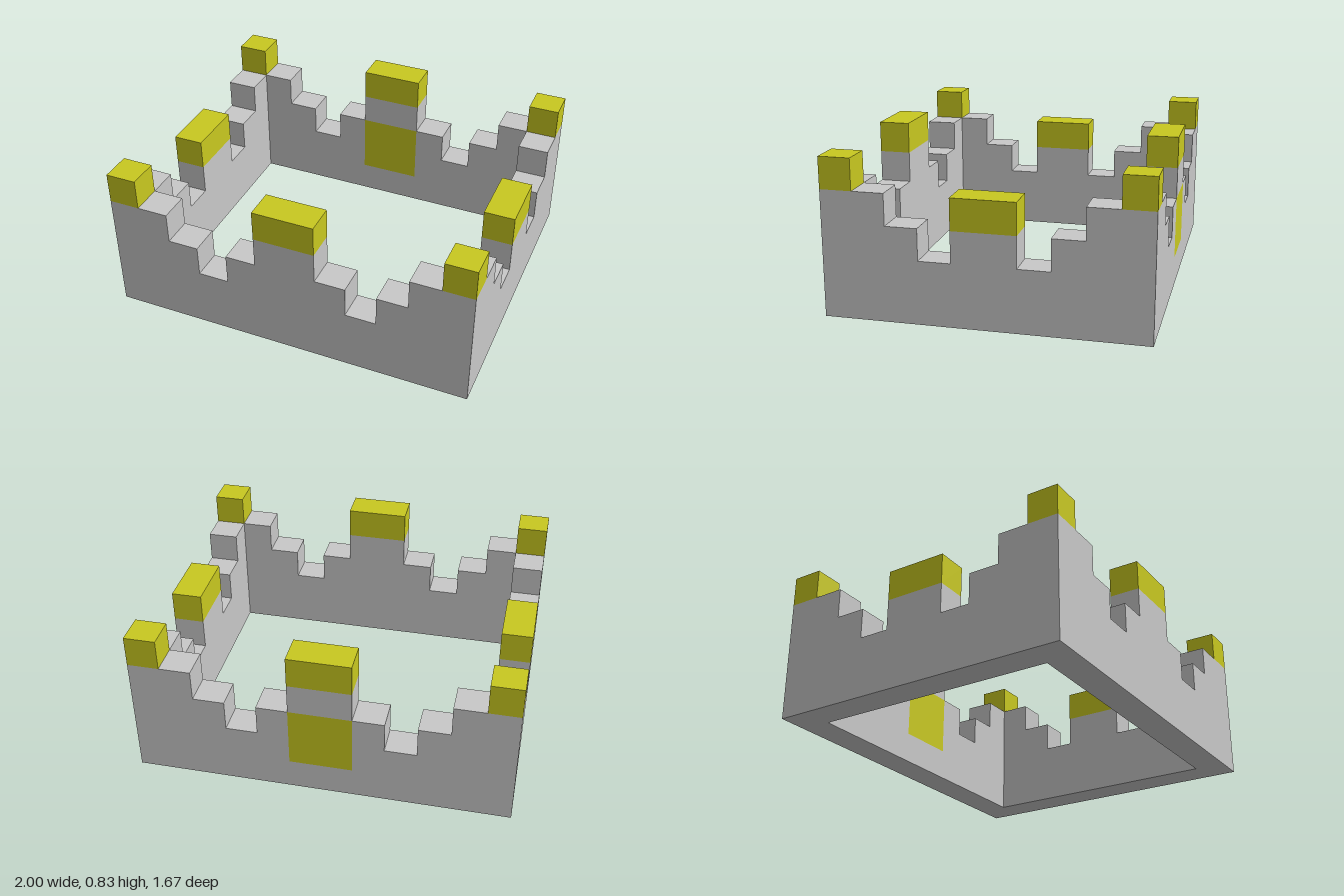
import * as THREE from 'three';

const U = 1 / 6; // one building block

const stone = new THREE.MeshStandardMaterial({ color: 0xc8c8c8 });
stone.name = 'grey stone';
const gold = new THREE.MeshStandardMaterial({ color: 0xc8c820 });
gold.name = 'yellow gold';

// Stepped wall, one block thick, centred on its own x and z; heights are in blocks
function steppedWall(name, heights, hole) {
  const half = heights.length / 2;
  const shape = new THREE.Shape();
  shape.moveTo(-half * U, 0);
  shape.lineTo(half * U, 0);
  for (let i = heights.length - 1; i >= 0; i--) {
    const y = heights[i] * U;
    if (heights[i] !== heights[i + 1]) shape.lineTo((i + 1 - half) * U, y);
    if (heights[i] !== heights[i - 1]) shape.lineTo((i - half) * U, y);
  }
  shape.closePath();
  if (hole) {
    const [x0, y0, x1, y1] = hole.map((v) => v * U);
    const path = new THREE.Path();
    path.moveTo(x0, y0);
    path.lineTo(x0, y1);
    path.lineTo(x1, y1);
    path.lineTo(x1, y0);
    path.closePath();
    shape.holes.push(path);
  }
  const geometry = new THREE.ExtrudeGeometry(shape, { depth: U, bevelEnabled: false });
  geometry.translate(0, 0, -U / 2);
  const mesh = new THREE.Mesh(geometry, stone);
  mesh.name = name;
  return mesh;
}

// Gold block: size and centre in blocks, y is its underside
function goldBlock(name, w, h, d, x, y, z) {
  const mesh = new THREE.Mesh(new THREE.BoxGeometry(w * U, h * U, d * U), gold);
  mesh.name = name;
  mesh.position.set(x * U, (y + h / 2) * U, z * U);
  return mesh;
}

export function createModel() {
  const model = new THREE.Group();
  model.name = 'steppedCourtyard';

  const longSteps = [4, 4, 3, 2, 3, 4, 4, 3, 2, 3, 4, 4];
  const shortSteps = [4, 3, 2, 3, 3, 2, 3, 4];

  // Front and back walls; the back one has a square opening for the gate
  const front = steppedWall('frontWall', longSteps);
  front.position.z = 4.5 * U;
  const back = steppedWall('backWall', longSteps, [-1, 1, 1, 3]);
  back.position.z = -4.5 * U;
  model.add(front, back, goldBlock('gate', 2, 2, 1, 0, 1, -4.5));

  // Side walls fit between the front and back walls
  for (const [side, s] of [['left', 1], ['right', -1]]) {
    const wall = steppedWall(side + 'Wall', shortSteps);
    wall.rotation.y = Math.PI / 2;
    wall.position.x = s * 5.5 * U;
    model.add(wall, goldBlock(side + 'Cap', 1, 1, 2, s * 5.5, 3, 0));
  }

  // Gold caps on the corners and the middle of the long walls
  for (const [end, z] of [['front', 4.5], ['back', -4.5]]) {
    model.add(
      goldBlock(end + 'Cap', 2, 1, 1, 0, 4, z),
      goldBlock(end + 'LeftCornerCap', 1, 1, 1, 5.5, 4, z),
      goldBlock(end + 'RightCornerCap', 1, 1, 1, -5.5, 4, z)
    );
  }
  return model;
}
